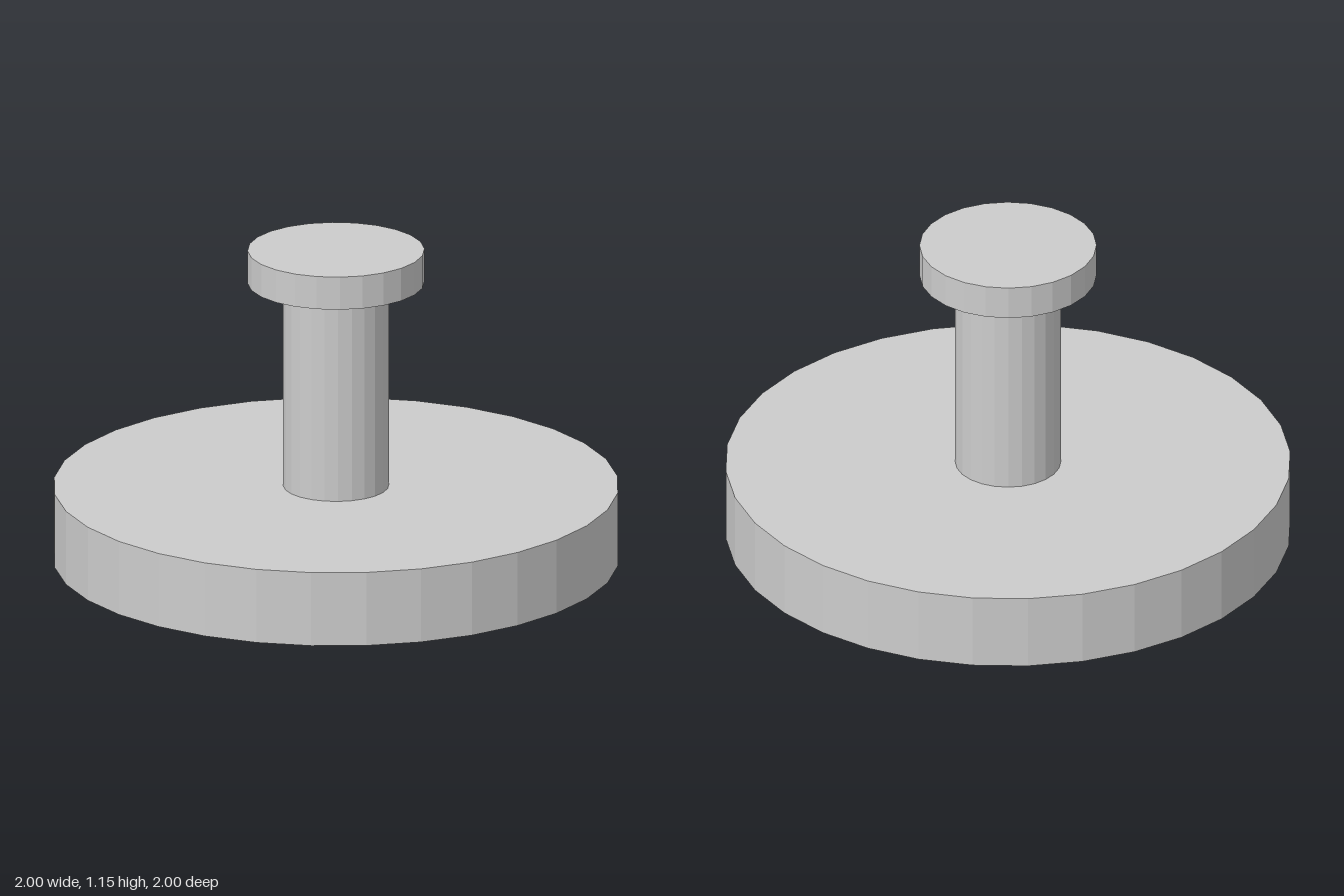
import * as THREE from 'three';

export function createModel() {
  const group = new THREE.Group();
  const grey = new THREE.MeshStandardMaterial({ color: 0xcccccc, flatShading: true });
  grey.name = 'light grey';

  // Upright disc or post between two heights
  function addCylinder(name, radius, bottom, top, sides) {
    const geometry = new THREE.CylinderGeometry(radius, radius, top - bottom, sides);
    const mesh = new THREE.Mesh(geometry, grey);
    mesh.name = name;
    mesh.position.y = (bottom + top) / 2;
    group.add(mesh);
  }

  addCylinder('base', 1, 0, 0.272, 32);
  addCylinder('stem', 0.187, 0.272, 1.026, 24);
  addCylinder('cap', 0.313, 1.026, 1.147, 24);

  return group;
}
